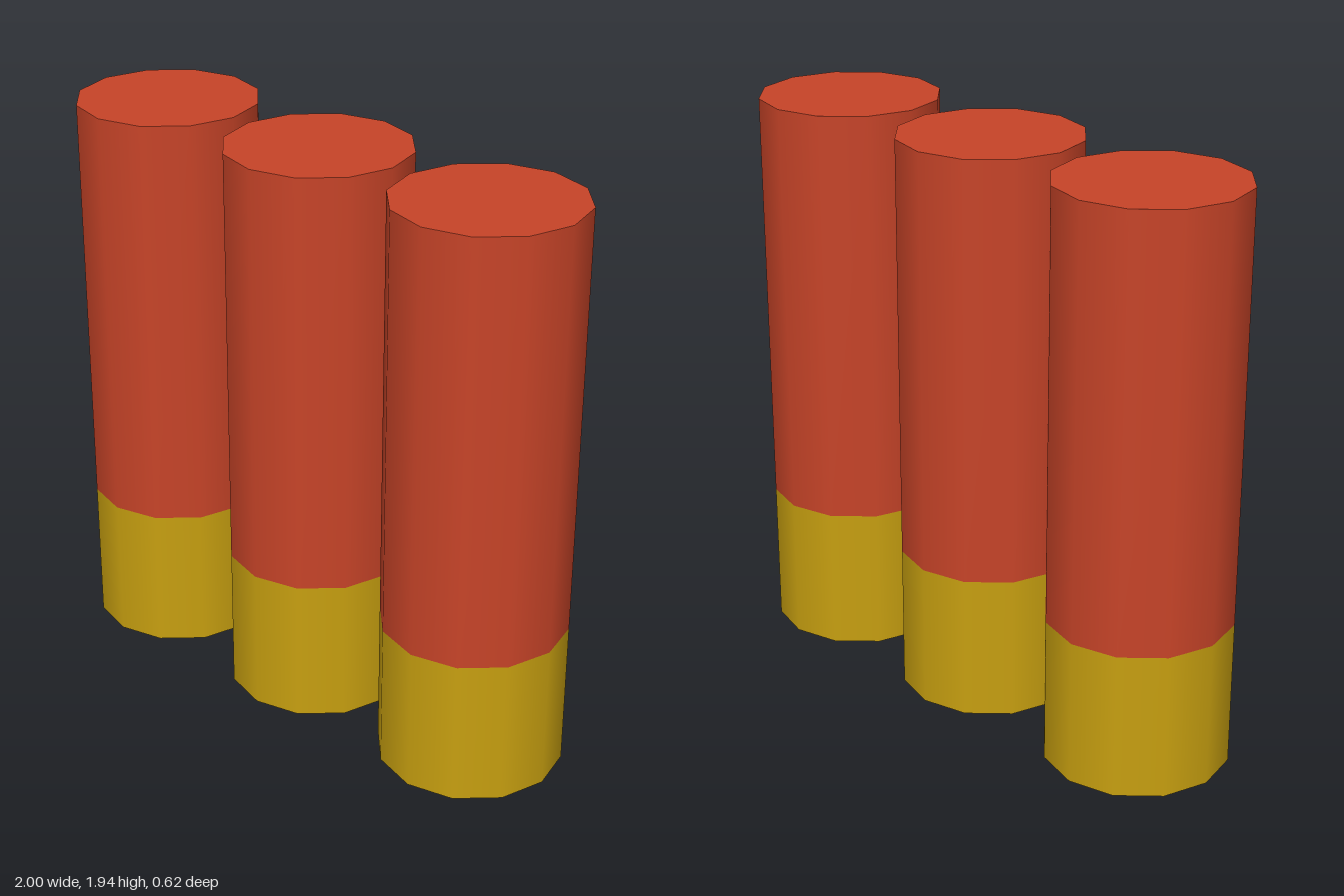
import * as THREE from 'three';

const RADIUS = 0.31;
const SPACING = 0.69;
const SIDES = 12;
const BASE_TOP = 0.5;
const TOP = 1.94;

// Upright smooth-sided cylinder spanning y0..y1
function makeCylinder(name, y0, y1, color) {
  const geometry = new THREE.CylinderGeometry(RADIUS, RADIUS, y1 - y0, SIDES);
  const mesh = new THREE.Mesh(geometry, new THREE.MeshStandardMaterial({ color }));
  mesh.position.y = (y0 + y1) / 2;
  mesh.name = name;
  return mesh;
}

// One cartridge: red tube on a yellow base
function makeCartridge(name, x) {
  const cartridge = new THREE.Group();
  cartridge.name = name;
  cartridge.position.x = x;
  cartridge.add(
    makeCylinder('base', 0, BASE_TOP, 0xc8a010),
    makeCylinder('tube', BASE_TOP, TOP, 0xc84428),
  );
  return cartridge;
}

export function createModel() {
  const model = new THREE.Group();
  model.name = 'cartridges';
  ['rightCartridge', 'middleCartridge', 'leftCartridge'].forEach((name, i) => {
    model.add(makeCartridge(name, (i - 1) * SPACING));
  });
  return model;
}
